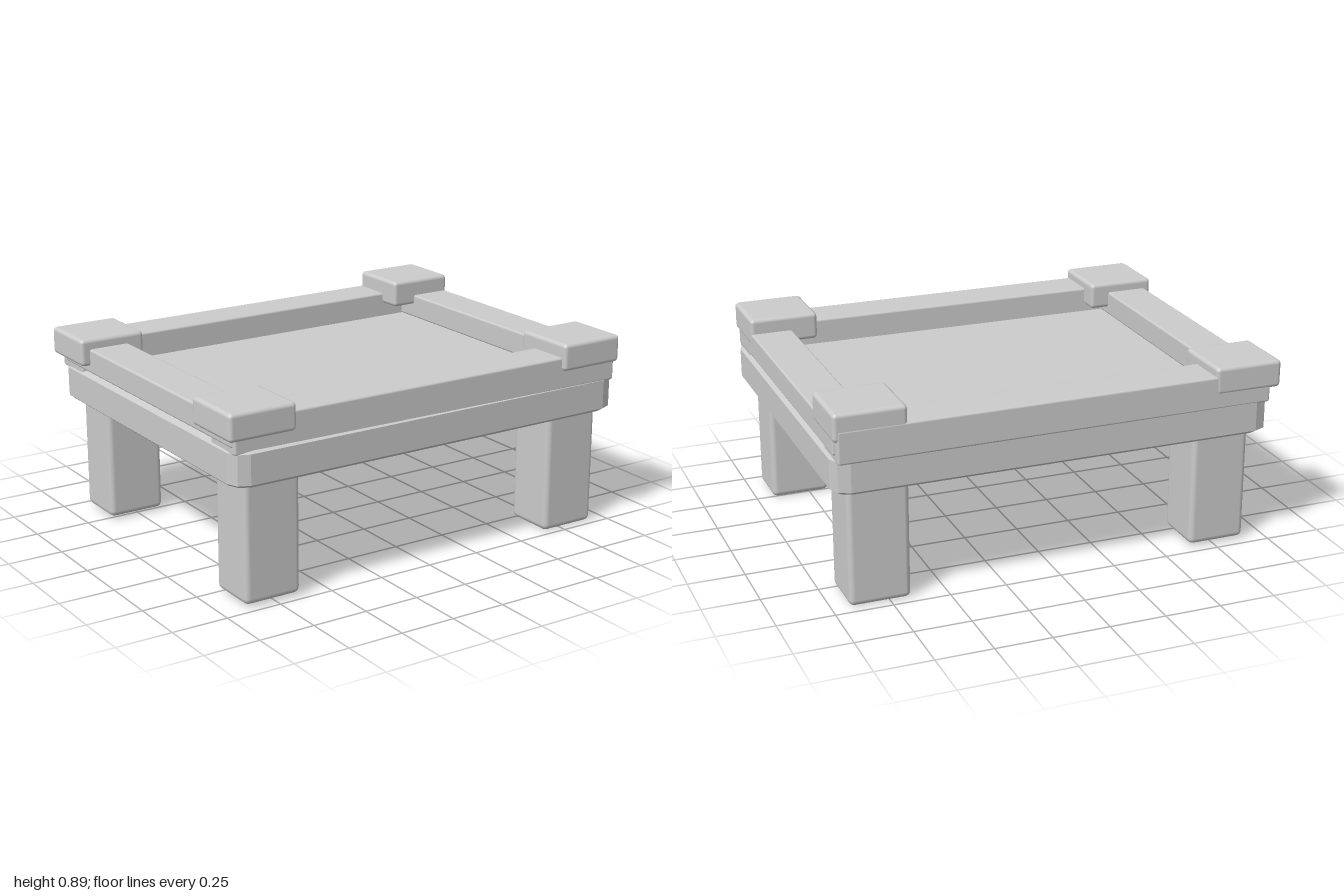
import * as THREE from 'three';
import { RoundedBoxGeometry } from 'three/addons/geometries/RoundedBoxGeometry.js';

const material = new THREE.MeshStandardMaterial({ color: 0xcccccc });
const flat = new THREE.MeshStandardMaterial({ color: 0xcccccc, flatShading: true });

// Soft-edged block given by its minimum and maximum corners
function block(name, min, max, radius, turn = 0) {
  const size = max.map((v, i) => v - min[i]);
  const mesh = new THREE.Mesh(new RoundedBoxGeometry(...size, 2, radius), material);
  mesh.position.set(...max.map((v, i) => (v + min[i]) / 2));
  mesh.rotation.y = turn;
  mesh.name = name;
  return mesh;
}

// Slab with faceted corners, lofted through [height, inset] rings
function slabGeometry(halfX, halfZ, rings, corner, facets) {
  const pos = [], index = [];
  const n = 4 * (facets + 1);
  for (const [y, inset] of rings) {
    for (let q = 0; q < 4; q++) {
      const sx = q === 0 || q === 3 ? 1 : -1;
      const sz = q < 2 ? 1 : -1;
      for (let k = 0; k <= facets; k++) {
        const a = (q + k / facets) * Math.PI / 2;
        pos.push(sx * (halfX - inset - corner) + corner * Math.cos(a), y,
          sz * (halfZ - inset - corner) + corner * Math.sin(a));
      }
    }
  }
  for (let r = 0; r < rings.length - 1; r++) {
    for (let i = 0; i < n; i++) {
      const a = r * n + i, b = r * n + (i + 1) % n;
      index.push(a, a + n, b, b, a + n, b + n);
    }
  }
  const top = (rings.length - 1) * n;
  for (let i = 1; i < n - 1; i++) {
    index.push(0, i, i + 1, top, top + i + 1, top + i);
  }
  const geometry = new THREE.BufferGeometry();
  geometry.setAttribute('position', new THREE.Float32BufferAttribute(pos, 3));
  geometry.setIndex(index);
  geometry.computeVertexNormals();
  return geometry;
}

export function createModel() {
  const model = new THREE.Group();
  model.name = 'lowTable';

  // Table top
  const rings = [[0.53, 0.018], [0.545, 0], [0.675, 0], [0.702, 0.07]];
  const slab = new THREE.Mesh(slabGeometry(0.978, 0.775, rings, 0.07, 2), flat);
  slab.position.set(0.018, 0, -0.008);
  slab.name = 'tableTop';
  model.add(slab);

  // Raised border, slightly uneven
  model.add(
    block('frontRail', [-0.95, 0.67, 0.565], [0.98, 0.815, 0.757], 0.01, -0.01),
    block('backRail', [-0.95, 0.67, -0.787], [0.98, 0.815, -0.595], 0.01, 0.003),
    block('leftRail', [0.8, 0.7, -0.75], [0.99, 0.81, 0.73], 0.01),
    block('rightRail', [-0.957, 0.7, -0.75], [-0.765, 0.81, 0.73], 0.01),
  );

  // Corner caps
  model.add(
    block('frontRightCap', [-0.987, 0.735, 0.473], [-0.677, 0.855, 0.772], 0.018),
    block('backRightCap', [-0.998, 0.733, -0.788], [-0.69, 0.855, -0.495], 0.018),
    block('frontLeftCap', [0.682, 0.755, 0.488], [0.992, 0.877, 0.785], 0.018),
    block('backLeftCap', [0.684, 0.765, -0.788], [0.996, 0.888, -0.495], 0.018),
  );

  // Legs
  for (const [end, z0, z1] of [['front', 0.485, 0.72], ['back', -0.71, -0.468]]) {
    model.add(
      block(end + 'RightLeg', [-0.895, 0.012, z0], [-0.632, 0.6, z1], 0.025),
      block(end + 'LeftLeg', [0.657, 0, z0], [0.925, 0.6, z1], 0.025),
    );
  }
  return model;
}
